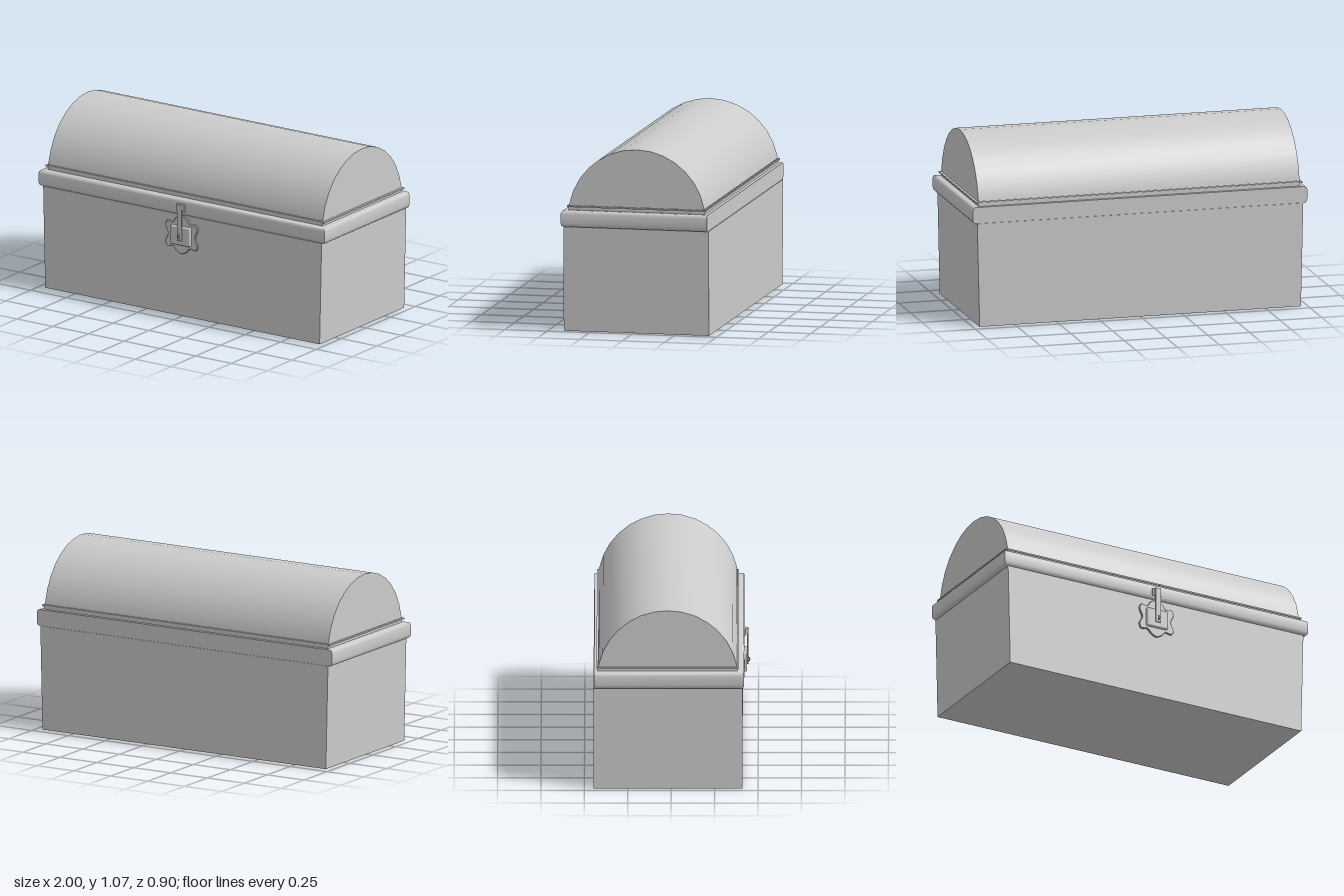
import * as THREE from 'three';
import { toCreasedNormals } from 'three/addons/utils/BufferGeometryUtils.js';
import { RoundedBoxGeometry } from 'three/addons/geometries/RoundedBoxGeometry.js';

const material = new THREE.MeshStandardMaterial({ color: 0xcccccc });

function part(name, geometry, x = 0, y = 0, z = 0) {
  const mesh = new THREE.Mesh(geometry, material);
  mesh.name = name;
  mesh.position.set(x, y, z);
  return mesh;
}

// Closed solid through rectangular levels [y, half width, front z, back z], bottom to top
function loft(levels) {
  const pos = [], idx = [];
  for (const [y, w, f, b] of levels) pos.push(-w, y, f, w, y, f, w, y, b, -w, y, b);
  for (let i = 0; i < levels.length - 1; i++) {
    for (let j = 0; j < 4; j++) {
      const a = i * 4 + j, b = i * 4 + (j + 1) % 4;
      idx.push(a, b, b + 4, a, b + 4, a + 4);
    }
  }
  const t = (levels.length - 1) * 4;
  idx.push(0, 2, 1, 0, 3, 2, t, t + 1, t + 2, t, t + 2, t + 3);
  const g = new THREE.BufferGeometry();
  g.setAttribute('position', new THREE.Float32BufferAttribute(pos, 3));
  g.setIndex(idx);
  return toCreasedNormals(g, 0.9);
}

// Half-round lid, a segment-sided arch extruded along x
function archedLid() {
  const r = 0.405, shape = new THREE.Shape();
  for (let i = 0; i <= 16; i++) {
    const a = i * Math.PI / 16;
    shape[i ? 'lineTo' : 'moveTo'](r * Math.cos(a), r * Math.sin(a));
  }
  const g = new THREE.ExtrudeGeometry(shape, { depth: 1.92, bevelEnabled: false });
  g.translate(0, 0, -0.96).rotateY(Math.PI / 2).translate(0, 0.665, -0.02);
  return toCreasedNormals(g, 0.5);
}

// Scalloped backing plate, mirrored about x = 0
function lockPlate() {
  const half = [[0, 0.375], [0.035, 0.39], [0.06, 0.415], [0.1, 0.41], [0.113, 0.44],
    [0.094, 0.485], [0.113, 0.535], [0.1, 0.565], [0.06, 0.56], [0.04, 0.59], [0, 0.605]];
  const mirrored = half.slice(1, -1).reverse().map(([x, y]) => [-x, y]);
  const pts = [...half, ...mirrored].map(([x, y]) => new THREE.Vector2(x, y));
  const curve = new THREE.CatmullRomCurve3(pts.map(p => new THREE.Vector3(p.x, p.y, 0)), true);
  const outline = curve.getPoints(60).slice(0, -1).map(p => new THREE.Vector2(p.x, p.y));
  return toCreasedNormals(new THREE.ExtrudeGeometry(new THREE.Shape(outline), {
    depth: 0.008, bevelEnabled: true, bevelThickness: 0.003, bevelSize: 0.003, bevelOffset: -0.003, bevelSegments: 1,
  }), 0.6);
}

export function createModel() {
  const chest = new THREE.Group();
  chest.name = 'chest';

  // Body, flaring slightly towards the top
  chest.add(part('body', loft([[0, 0.96, 0.41, -0.447], [0.61, 0.974, 0.41, -0.447]])));

  // Rim band, rounded at front and sides, flat at the back
  const rim = [[0.609, 0.022], [0.612, 0.01], [0.62, 0.003], [0.635, 0], [0.685, 0], [0.697, 0.003], [0.703, 0.009], [0.706, 0.02]];
  chest.add(part('rim', loft(rim.map(([y, d]) => [y, 1 - d, 0.42 - d, -0.443]))));

  // Lid with its base and thin lip
  chest.add(part('lidBase', loft([[0.7, 0.96, 0.382, -0.423], [0.735, 0.96, 0.382, -0.423]])));
  chest.add(part('lidLip', loft([[0.724, 0.974, 0.388, -0.43], [0.732, 0.974, 0.388, -0.43]])));
  chest.add(part('lid', archedLid()));

  // Lock and hasp
  const lock = new THREE.Group();
  lock.name = 'lock';
  lock.add(part('lockPlate', lockPlate(), 0, 0, 0.41));
  lock.add(part('lockCase', new RoundedBoxGeometry(0.14, 0.115, 0.03, 2, 0.01), 0, 0.488, 0.421));
  lock.add(part('haspMount', new RoundedBoxGeometry(0.06, 0.045, 0.012, 2, 0.004), 0, 0.655, 0.421));
  lock.add(part('haspHinge', new THREE.BoxGeometry(0.034, 0.03, 0.025), 0, 0.66, 0.431));
  lock.add(part('haspStrap', new RoundedBoxGeometry(0.034, 0.215, 0.008, 2, 0.003), 0, 0.5675, 0.44));
  const staple = part('staple', new THREE.TorusGeometry(0.014, 0.004, 6, 12), 0, 0.487, 0.437);
  staple.rotation.y = Math.PI / 2;
  lock.add(staple);
  chest.add(lock);

  return chest;
}
